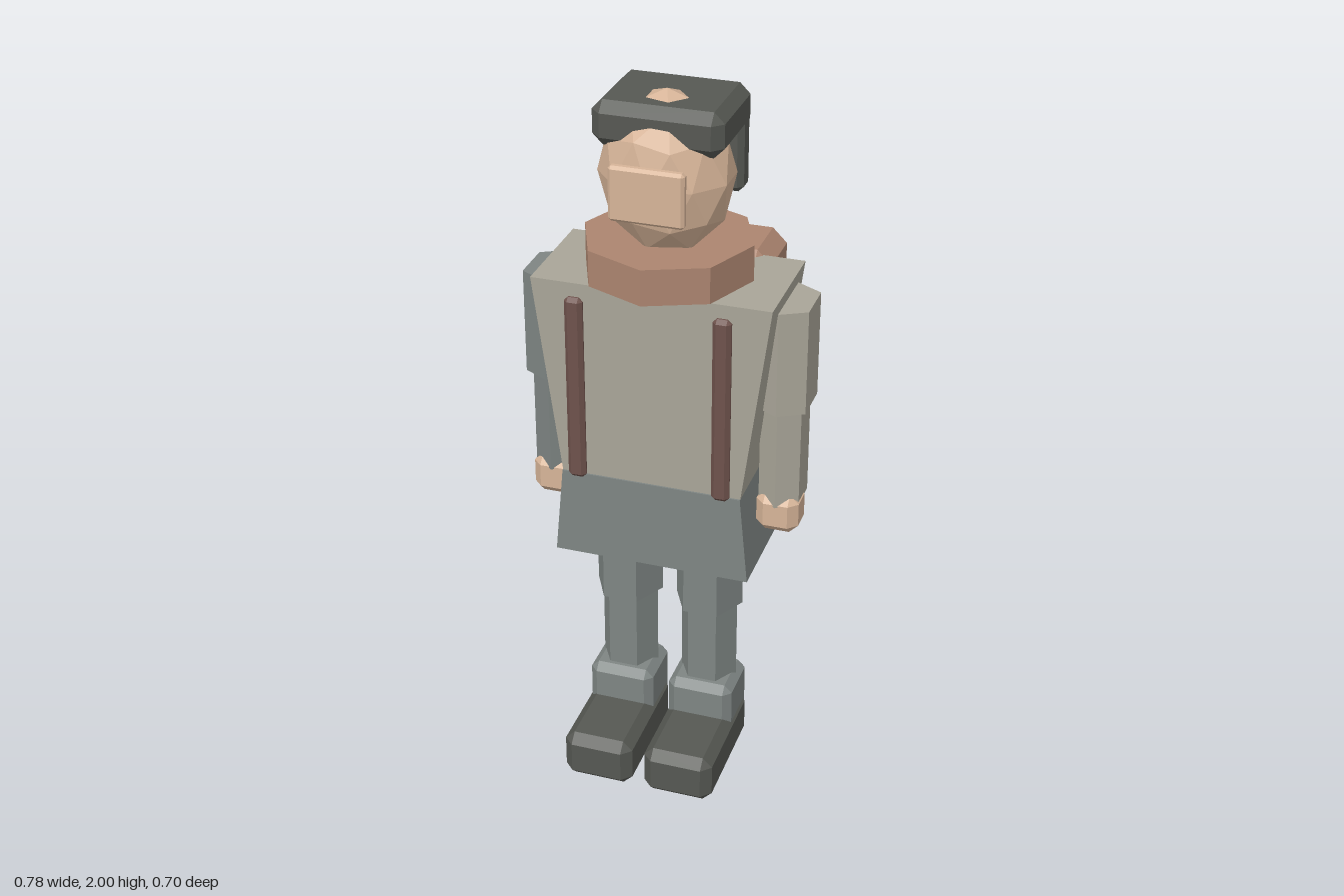
import * as THREE from 'three';
import { ConvexGeometry } from 'three/addons/geometries/ConvexGeometry.js';

const mat = (name, color) => {
  const m = new THREE.MeshStandardMaterial({ color, flatShading: true });
  m.name = name;
  return m;
};

// Box with chamfered edges, given by its ranges on each axis
function chamferBox([x0, x1], [y0, y1], [z0, z1], b) {
  const h = [(x1 - x0) / 2, (y1 - y0) / 2, (z1 - z0) / 2];
  const pts = [];
  for (const sx of [-1, 1]) for (const sy of [-1, 1]) for (const sz of [-1, 1])
    for (let full = 0; full < 3; full++) {
      const s = [sx, sy, sz];
      const p = h.map((v, i) => s[i] * (i === full ? v : v - b));
      pts.push(new THREE.Vector3(...p));
    }
  return new ConvexGeometry(pts).translate((x0 + x1) / 2, (y0 + y1) / 2, (z0 + z1) / 2);
}

// Box whose width changes from bottom to top
function taperBox(wBottom, wTop, [y0, y1], [z0, z1]) {
  const g = new THREE.BoxGeometry(1, y1 - y0, z1 - z0);
  const p = g.attributes.position;
  for (let i = 0; i < p.count; i++) p.setX(i, p.getX(i) * (p.getY(i) > 0 ? wTop : wBottom));
  g.translate(0, (y0 + y1) / 2, (z0 + z1) / 2);
  g.computeVertexNormals();
  return g;
}

// Upright prism from an outline of [x, z] corners
function prism(outline, [y0, y1], x, z) {
  const pts = [];
  for (const [px, pz] of outline)
    for (const y of [y0, y1]) pts.push(new THREE.Vector3(px + x, y, pz + z));
  return new ConvexGeometry(pts);
}

// Six-sided outlines: flat on the outer side (arms), flat on the front (legs)
const armOutline = (a, f, r) => [[a, f], [0, r], [-a, f], [-a, -f], [0, -r], [a, -f]];
const legOutline = (w, d) => [[w, 0], [w / 2, d], [-w / 2, d], [-w, 0], [-w / 2, -d], [w / 2, -d]];

export function createModel() {
  const group = new THREE.Group();
  const beige = mat('beige cloth', 0xa9a598);
  const grey = mat('grey cloth', 0x7e8583);
  const skin = mat('skin', 0xd6b498);
  const leather = mat('brown leather', 0xac8570);
  const strap = mat('dark strap', 0x6e524c);
  const dark = mat('dark felt', 0x565853);
  const teal = mat('teal clasp', 0x8cc8c2);

  const add = (name, geometry, material) => {
    const m = new THREE.Mesh(geometry, material);
    m.name = name;
    group.add(m);
    return m;
  };

  // Body
  add('torso', taperBox(0.5, 0.65, [0.935, 1.5], [-0.115, 0.2]), beige);
  add('skirt', taperBox(0.548, 0.5, [0.68, 0.935], [-0.12, 0.205]), grey);
  add('collar', new THREE.CylinderGeometry(0.23, 0.23, 0.1, 8).translate(0, 1.55, 0.042), leather);

  // Head, with one corner of the ball pointing straight up
  const ball = new THREE.IcosahedronGeometry(1, 1).rotateZ(-0.5536);
  ball.scale(0.18, 0.22, 0.153).translate(0, 1.78, 0.054);
  add('head', ball, skin);
  add('facePlate', chamferBox([-0.1, 0.1], [1.7, 1.848], [0.2, 0.228], 0.008), skin);
  add('hat', chamferBox([-0.173, 0.173], [1.86, 1.98], [-0.12, 0.155], 0.028), dark);
  add('backHair', chamferBox([-0.165, 0.165], [1.69, 1.91], [-0.128, -0.06], 0.015), dark);

  // Backpack
  add('backpack', chamferBox([-0.235, 0.235], [0.89, 1.515], [-0.3, -0.07], 0.04), leather);
  add('packFlap', chamferBox([-0.19, 0.19], [1.27, 1.445], [-0.331, -0.29], 0.014), leather);
  add('packClasp', new THREE.BoxGeometry(0.116, 0.11, 0.027).translate(0, 1.247, -0.339), teal);

  for (const s of [-1, 1]) {
    const side = s > 0 ? 'left' : 'right';
    const sleeve = s > 0 ? beige : grey;
    const x = 0.2 * s, ax = 0.321 * s, lx = 0.118 * s;
    const around = (c, w) => [c - w, c + w];

    add(side + 'Strap', chamferBox(around(x, 0.025), [0.935, 1.47], [0.205, 0.232], 0.011), strap);

    // Arm
    add(side + 'UpperArm', prism(armOutline(0.07, 0.06, 0.098), [1.16, 1.458], ax, 0.03), sleeve);
    add(side + 'Forearm', prism(armOutline(0.056, 0.045, 0.083), [0.87, 1.16], ax, 0.03), sleeve);
    add(side + 'Hand', chamferBox(around(ax, 0.059), [0.783, 0.9], [-0.003, 0.108], 0.025), skin);

    // Leg and shoe
    add(side + 'Thigh', prism(legOutline(0.097, 0.092), [0.49, 0.72], lx, 0.037), grey);
    add(side + 'Shin', prism(legOutline(0.082, 0.07), [0.06, 0.49], lx, 0.037), grey);
    add(side + 'Cuff', chamferBox(around(lx, 0.094), [0.05, 0.25], [-0.035, 0.14], 0.022), grey);
    add(side + 'Shoe', chamferBox(around(lx, 0.1), [0, 0.145], [-0.025, 0.35], 0.027), dark);
  }
  return group;
}
